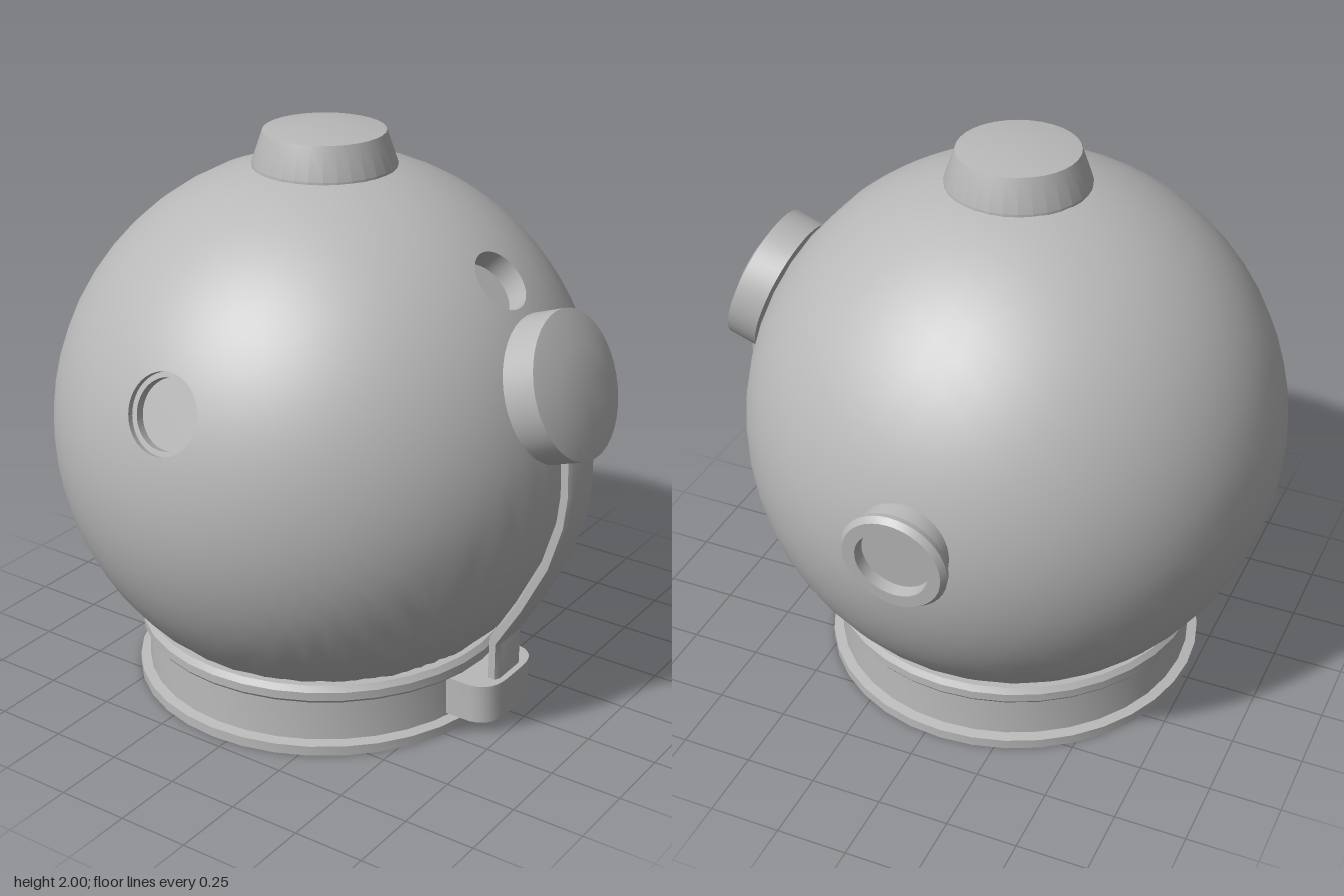
import * as THREE from 'three';
import { toCreasedNormals } from 'three/addons/utils/BufferGeometryUtils.js';

const V = (x, y, z) => new THREE.Vector3(x, y, z);
const R = 0.935;
const CENTER = V(-0.058, 0.95, 0.038);
const UP = V(0, 1, 0);

export function createModel() {
  const model = new THREE.Group();
  const metal = new THREE.MeshStandardMaterial({ color: 0xb8b8b8 });
  metal.name = 'grey metal';

  function add(name, geometry, position, axis = UP) {
    const mesh = new THREE.Mesh(geometry, metal);
    mesh.name = name;
    mesh.position.copy(position);
    mesh.quaternion.setFromUnitVectors(UP, axis);
    model.add(mesh);
    return mesh;
  }

  // Turned part with crisp edges; the profile is a list of [radius, height]
  const turned = (profile, sides = 40) => toCreasedNormals(
    new THREE.LatheGeometry(profile.map(([r, y]) => new THREE.Vector2(r, y)), sides), 0.4);

  // Two round openings in the shell
  const frontAxis = V(0, 0.34, 0.94).normalize();
  const sideAxis = V(0.73, 0.68, 0).normalize();
  const frontRadius = 0.133, sideRadius = 0.107;

  // Half of the shell, running from the opening to the plane midway between both openings
  const split = frontAxis.clone().sub(sideAxis).normalize();
  const across = split.clone().addScaledVector(frontAxis, -split.dot(frontAxis)).normalize();
  const along = frontAxis.clone().cross(across);
  function shellHalf(radius, mirrored) {
    const rings = 18, sides = 48, positions = [], normals = [], index = [];
    const start = Math.asin(radius / R);
    for (let i = 0; i <= rings; i++) {
      for (let j = 0; j <= sides; j++) {
        const phi = (j / sides) * Math.PI * 2;
        const u = across.clone().multiplyScalar(Math.cos(phi)).addScaledVector(along, Math.sin(phi));
        const end = Math.atan2(split.dot(frontAxis), -split.dot(u));
        const theta = start + (end - start) * (i / rings);
        const n = frontAxis.clone().multiplyScalar(Math.cos(theta)).addScaledVector(u, Math.sin(theta));
        if (mirrored) n.reflect(split);
        normals.push(n.x, n.y, n.z);
        positions.push(n.x * R, n.y * R, n.z * R);
        if (i < rings && j < sides) {
          const a = i * (sides + 1) + j, b = a + 1, c = a + sides + 1, d = c + 1;
          if (mirrored) index.push(a, b, c, b, d, c);
          else index.push(a, c, b, b, c, d);
        }
      }
    }
    const g = new THREE.BufferGeometry();
    g.setAttribute('position', new THREE.Float32BufferAttribute(positions, 3));
    g.setAttribute('normal', new THREE.Float32BufferAttribute(normals, 3));
    g.setIndex(index);
    return g;
  }
  add('shellFrontHalf', shellHalf(frontRadius, false), CENTER);
  add('shellSideHalf', shellHalf(sideRadius, true), CENTER);

  // Recessed windows inside the openings
  const onShell = (axis, r) => CENTER.clone().addScaledVector(axis, Math.sqrt(R * R - r * r));
  add('frontWindow', turned([[frontRadius, 0], [frontRadius, -0.02], [0.115, -0.02],
    [0.115, -0.05], [0, -0.05]], 48), onShell(frontAxis, frontRadius), frontAxis);
  add('sideWindow', turned([[sideRadius, 0], [sideRadius, -0.08], [0, -0.08]], 48),
    onShell(sideAxis, sideRadius), sideAxis);

  // Neck collar
  add('collar', turned([[0, 0], [0.675, 0], [0.675, 0.035], [0.64, 0.042], [0.635, 0.19],
    [0.655, 0.195], [0.662, 0.205], [0.662, 0.235], [0.648, 0.255], [0.5, 0.26]], 36),
    V(CENTER.x, 0, CENTER.z));

  // Cap on the crown
  add('topCap', turned([[0.24, -0.05], [0.243, 0], [0.205, 0.11], [0, 0.14]], 32),
    V(CENTER.x, 1.86, CENTER.z));

  // Round cap on the left side, with a raised flat centre
  add('sideCap', turned([[0, -0.112], [0.245, -0.112], [0.245, 0], [0.137, 0.033], [0, 0.033]]),
    V(0.91, 1.295, CENTER.z), V(0.94, 0.34, 0).normalize());

  // Flanged port at the back
  add('rearPort', turned([[0.16, -0.14], [0.16, -0.045], [0.178, -0.04], [0.183, -0.02],
    [0.168, 0], [0.125, 0], [0.12, -0.04], [0, -0.04]]),
    V(CENTER.x, 1.003, -0.962), V(0, -0.1, -1).normalize());

  // Bent strap from the side cap down to the collar
  const path = [[0.685, 0.17], [0.685, 0.33], [0.78, 0.49], [0.87, 0.67],
    [0.918, 0.83], [0.93, 0.94], [0.925, 1.1]].map(([x, y]) => new THREE.Vector2(x, y));
  const edge = (side) => path.map((p, i) => {
    const t = path[Math.min(i + 1, path.length - 1)].clone().sub(path[Math.max(i - 1, 0)]).normalize();
    return new THREE.Vector2(p.x + t.y * side * 0.013, p.y - t.x * side * 0.013);
  });
  const strap = new THREE.ExtrudeGeometry(new THREE.Shape([...edge(1), ...edge(-1).reverse()]),
    { depth: 0.125, bevelThickness: 0.02, bevelSize: 0.01, bevelSegments: 1 });
  strap.translate(0, 0, -0.0625);
  add('strap', toCreasedNormals(strap, 0.5), V(0, 0, CENTER.z + 0.004));

  // Bracket holding the strap, rounded on its outer corners
  const plan = new THREE.Shape();
  plan.moveTo(0.5, -0.163);
  plan.lineTo(0.65, -0.163);
  plan.quadraticCurveTo(0.73, -0.15, 0.73, -0.05);
  plan.lineTo(0.73, 0.05);
  plan.quadraticCurveTo(0.73, 0.15, 0.65, 0.163);
  plan.lineTo(0.5, 0.163);
  const bracket = new THREE.ExtrudeGeometry(plan, { depth: 0.14, bevelEnabled: false, curveSegments: 6 });
  bracket.rotateX(-Math.PI / 2);
  add('strapBracket', toCreasedNormals(bracket, 0.5), V(0, 0.05, CENTER.z + 0.002));

  return model;
}
